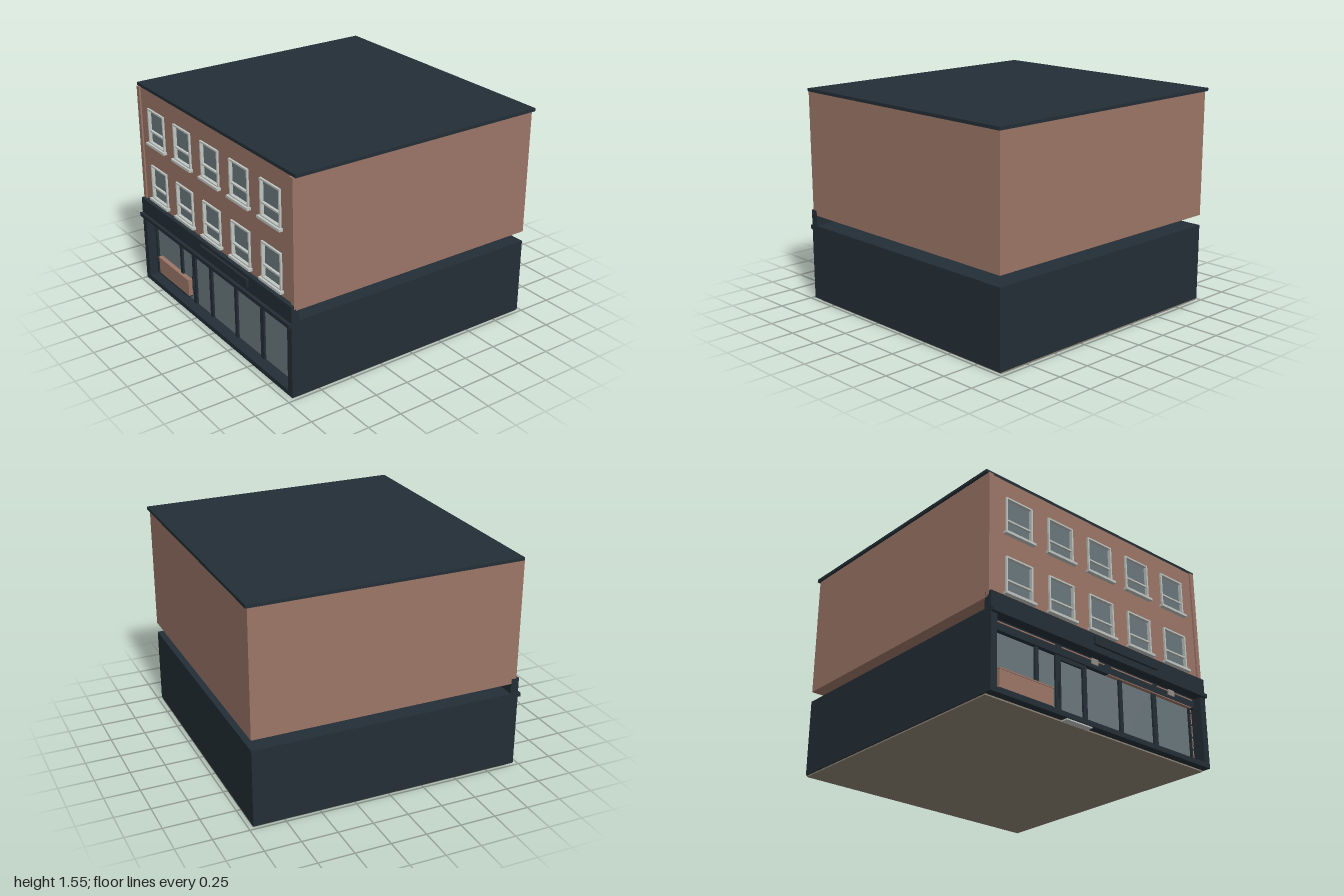
import * as THREE from 'three';

export function createModel() {
  const group = new THREE.Group();
  group.name = 'shopBuilding';
  const mat = (name, color) => {
    const m = new THREE.MeshStandardMaterial({ color });
    m.name = name;
    return m;
  };
  const brick = mat('brick', 0x9c7667);
  const slate = mat('slatePaint', 0x232e36);
  const glass = mat('glass', 0x6a777c);
  const trim = mat('paleTrim', 0xc0c6c2);
  const stone = mat('floorStone', 0x8c8373);
  const lampGrey = mat('lampGrey', 0x918c84);

  // Box given by its min and max on each axis
  const box = (name, m, x0, x1, y0, y1, z0, z1, parent = group) => {
    const mesh = new THREE.Mesh(new THREE.BoxGeometry(x1 - x0, y1 - y0, z1 - z0), m);
    mesh.position.set((x0 + x1) / 2, (y0 + y1) / 2, (z0 + z1) / 2);
    mesh.name = name;
    parent.add(mesh);
    return mesh;
  };

  // Main volumes
  box('floorSlab', stone, -0.975, 0.975, 0, 0.01, -0.97, 0.905);
  box('doorStep', trim, -0.36, -0.14, 0.001, 0.01, 0.905, 0.955);
  box('shopBody', slate, -0.985, 0.985, 0.01, 0.56, -0.97, 0.875);
  box('upperBody', brick, -0.985, 0.985, 0.635, 1.525, -0.97, 0.915);
  box('roof', slate, -1, 1, 1.525, 1.547, -0.985, 0.93);

  // Upper facade with window openings
  const columns = [-0.73, -0.365, 0, 0.365, 0.73];
  const rows = [0.71, 1.14];
  const W = 0.225, H = 0.26;
  const rect = (P, x0, x1, y0, y1) => {
    const p = new P();
    p.moveTo(x0, y0);
    p.lineTo(x1, y0);
    p.lineTo(x1, y1);
    p.lineTo(x0, y1);
    p.closePath();
    return p;
  };
  const wall = rect(THREE.Shape, -0.985, 0.985, 0.635, 1.525);
  for (const x of columns) for (const y of rows) {
    wall.holes.push(rect(THREE.Path, x - W / 2, x + W / 2, y, y + H));
  }
  const facade = new THREE.Mesh(
    new THREE.ExtrudeGeometry(wall, { depth: 0.015, bevelEnabled: false }), brick);
  facade.position.z = 0.915;
  facade.name = 'facade';
  group.add(facade);
  for (const s of [-1, 1]) {
    box('brickPilaster', brick, s * 0.9675 - 0.0175, s * 0.9675 + 0.0175, 0.645, 1.525, 0.925, 0.942);
  }

  // Sash windows
  for (const x of columns) for (const y of rows) {
    const win = new THREE.Group();
    win.name = 'sashWindow';
    group.add(win);
    const l = x - W / 2, r = x + W / 2, t = 0.012;
    box('windowGlass', glass, l, r, y, y + H, 0.914, 0.92, win);
    box('frameLeft', trim, l, l + t, y, y + H, 0.915, 0.944, win);
    box('frameRight', trim, r - t, r, y, y + H, 0.915, 0.944, win);
    box('frameHead', trim, l, r, y + H - t, y + H, 0.915, 0.944, win);
    box('frameFoot', trim, l, r, y, y + t, 0.915, 0.944, win);
    box('meetingRail', trim, l, r, y + 0.088, y + 0.1, 0.915, 0.938, win);
    box('windowSill', trim, x - 0.128, x + 0.128, y - 0.014, y + 0.004, 0.92, 0.96, win);
  }

  // Shop fascia, cornice and sign board
  box('fascia', slate, -0.985, 0.985, 0.553, 0.67, 0.905, 0.963);
  box('cornice', slate, -0.985, 0.985, 0.525, 0.553, 0.9, 0.985);
  box('signBoard', slate, -0.11, 0.49, 0.588, 0.645, 0.963, 0.979);

  // Shopfront surround
  box('header', slate, -0.985, 0.985, 0.455, 0.56, 0.87, 0.905);
  box('stallSill', slate, -0.985, 0.985, 0.01, 0.045, 0.87, 0.963);
  for (const s of [-1, 1]) {
    box('cornerPier', slate, s * 0.96 - 0.025, s * 0.96 + 0.025, 0.01, 0.56, 0.87, 0.963);
  }

  // Shop glazing between dark mullions
  const panes = [[-0.915, -0.565], [-0.535, -0.39], [-0.345, -0.15],
    [-0.115, 0.185], [0.215, 0.51], [0.55, 0.885]];
  panes.forEach(([a, b], i) => {
    box(i === 2 ? 'doorGlass' : 'shopGlass', glass, a, b, 0.045, i === 2 ? 0.427 : 0.45, 0.873, 0.88);
    box('mullion', slate, i ? panes[i - 1][1] : -0.935, a, 0.045, 0.455, 0.87, 0.895);
  });
  box('mullion', slate, 0.885, 0.9, 0.045, 0.455, 0.87, 0.895);
  box('doorHead', slate, -0.345, -0.15, 0.427, 0.455, 0.87, 0.895);
  box('doorHandle', slate, -0.372, -0.362, 0.16, 0.27, 0.89, 0.91);

  // Side display shelves
  box('displayPanel', brick, 0.9, 0.93, 0.07, 0.45, 0.873, 0.88);
  for (let i = 0; i < 4; i++) {
    const y = 0.15 + i * 0.09;
    box('displayShelf', slate, 0.9, 0.93, y, y + 0.006, 0.873, 0.887);
  }

  // Wooden strips along the header, and lamps
  for (const [a, b] of [[-0.91, -0.405], [-0.345, 0.04], [0.105, 0.505], [0.55, 0.91]]) {
    box('headerStrip', brick, a, b, 0.506, 0.514, 0.904, 0.909);
  }
  box('transomStrip', brick, 0.08, 0.9, 0.45, 0.456, 0.873, 0.907);
  for (const x of [-0.05, 0.69]) {
    box('lamp', lampGrey, x - 0.03, x + 0.03, 0.48, 0.522, 0.904, 0.913);
  }

  // Window counter
  box('counter', brick, -0.87, -0.43, 0.08, 0.205, 0.875, 0.91);
  box('counterTop', brick, -0.875, -0.425, 0.2, 0.21, 0.875, 0.914);
  box('counterBase', slate, -0.87, -0.43, 0.07, 0.08, 0.875, 0.912);
  return group;
}
